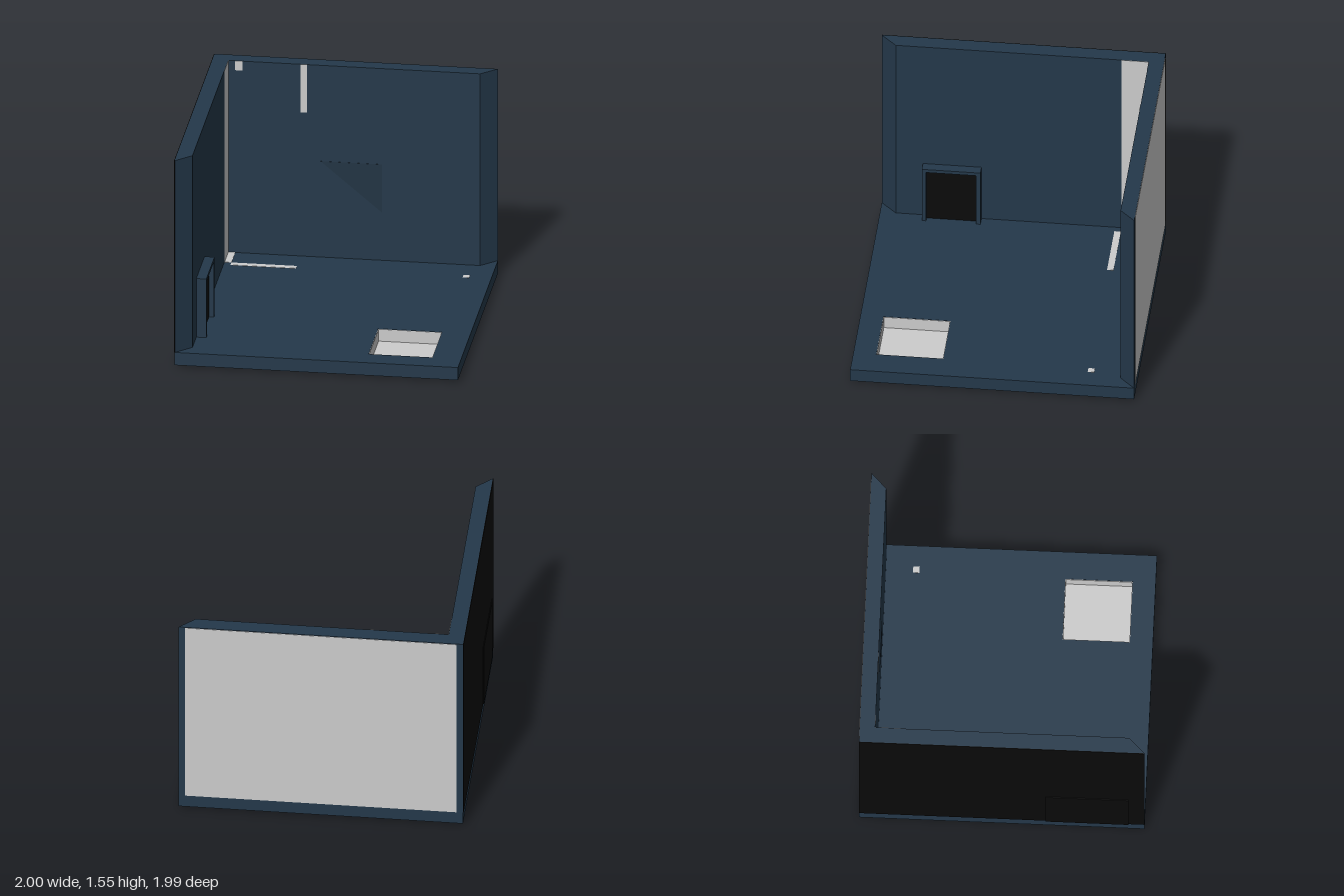
import * as THREE from 'three';

const mat = (name, color) => Object.assign(new THREE.MeshStandardMaterial({ color }), { name });

export function createModel() {
  const group = new THREE.Group();
  const navy = mat('navy plaster', 0x24384a);
  const shade = mat('deep navy', 0x213343);
  const grey = mat('light grey', 0xcccccc);
  const black = mat('black', 0x0a0a0a);

  const add = (name, geometry, material) => {
    const mesh = new THREE.Mesh(geometry, material);
    mesh.name = name;
    group.add(mesh);
    return mesh;
  };
  // Box given by its limits on each axis
  const box = (name, material, x0, x1, y0, y1, z0, z1) => {
    const geometry = new THREE.BoxGeometry(x1 - x0, y1 - y0, z1 - z0);
    geometry.translate((x0 + x1) / 2, (y0 + y1) / 2, (z0 + z1) / 2);
    return add(name, geometry, material);
  };
  // Upright prism from a plan outline of [x, z] points, with an optional hole
  const plan = (points) => points.map(([x, z]) => new THREE.Vector2(x, -z));
  const prism = (name, material, points, y0, y1, hole) => {
    const shape = new THREE.Shape(plan(points));
    if (hole) shape.holes.push(new THREE.Path(plan(hole)));
    const geometry = new THREE.ExtrudeGeometry(shape, { depth: y1 - y0, bevelEnabled: false });
    geometry.rotateX(-Math.PI / 2);
    geometry.translate(0, y0, 0);
    return add(name, geometry, material);
  };

  const floorY = 0.11, topY = 1.55, under = 0.015;

  // Floor slab with a square opening
  prism('floor', navy, [[-0.99, 0.99], [1, 0.99], [1, -0.997], [-0.99, -0.997]], under, floorY,
    [[0.35, 0.36], [0.8, 0.36], [0.8, 0.83], [0.35, 0.83]]);

  // Two walls with mitred free ends
  prism('backWall', navy, [[-0.99, -0.997], [-0.88, -0.89], [0.89, -0.89], [1, -0.997]], floorY, topY);
  prism('leftWall', navy, [[-0.99, -0.997], [-0.99, 0.99], [-0.88, 0.88], [-0.88, -0.89]], floorY, topY);

  // Outer wall coverings
  box('backWallPanel', grey, -0.945, 0.955, floorY, topY - 0.004, -1, -0.996);
  box('sideWallPanel', black, -0.994, -0.989, floorY, topY, -0.997, 0.99);
  box('outerDoorPanel', black, -1, -0.993, floorY, 0.6, 0.3, 0.88);

  // Lined pit in the floor
  const t = 0.004;
  box('pitBottom', grey, 0.35, 0.8, under, under + t, 0.36, 0.83);
  for (const x of [0.35, 0.8 - t]) box('pitSide', grey, x, x + t, under, floorY - 0.002, 0.36, 0.83);
  for (const z of [0.36, 0.83 - t]) box('pitEnd', grey, 0.35, 0.8, under, floorY - 0.002, z, z + t);

  // Strips and panel under the floor
  for (const x of [0.3, 0.8]) box('underStrip', grey, x, x + 0.05, 0.005, under, 0.31, 0.88);
  box('underPanel', grey, 0.35, 0.8, 0.007, under, -0.7, 0.31);
  for (const z of [0.36, 0.81]) box('pitRim', navy, 0.35, 0.8, 0.007, under, z, z + 0.02);
  box('standRib', navy, 0.36, 0.79, 0, under, 0.83, 0.835);

  // Door frame and dark opening
  box('doorPanel', black, -0.88, -0.845, floorY, 0.525, 0.31, 0.66);
  box('doorJamb', navy, -0.88, -0.81, floorY, 0.55, 0.28, 0.31);
  box('doorJamb', navy, -0.88, -0.81, floorY, 0.55, 0.66, 0.69);
  box('doorLintel', navy, -0.88, -0.81, 0.525, 0.55, 0.31, 0.66);

  // Pale inlays flush with floor and walls
  const e = 0.002;
  box('cornerStrip', grey, -0.88, -0.88 + e, floorY, topY, -0.89, -0.7);
  box('floorInlay', grey, -0.88, -0.83, floorY, floorY + e, -0.89, -0.7);
  box('floorInlay', grey, -0.83, -0.37, floorY, floorY + e, -0.7, -0.655);
  box('floorInlay', grey, 0.8, 0.845, floorY, floorY + e, -0.7, -0.655);
  box('wallInlay', grey, -0.37, -0.325, 1.19, topY, -0.89, -0.89 + e);
  box('wallInlay', grey, -0.83, -0.78, 1.48, topY, -0.89, -0.89 + e);

  // Darker triangle on the back wall
  const triangle = new THREE.Shape([[-0.23, 0.83], [0.2, 0.47], [0.2, 0.83]].map(([x, y]) => new THREE.Vector2(x, y)));
  add('wallTriangle', new THREE.ExtrudeGeometry(triangle, { depth: e, bevelEnabled: false }), shade).position.z = -0.89;

  return group;
}
